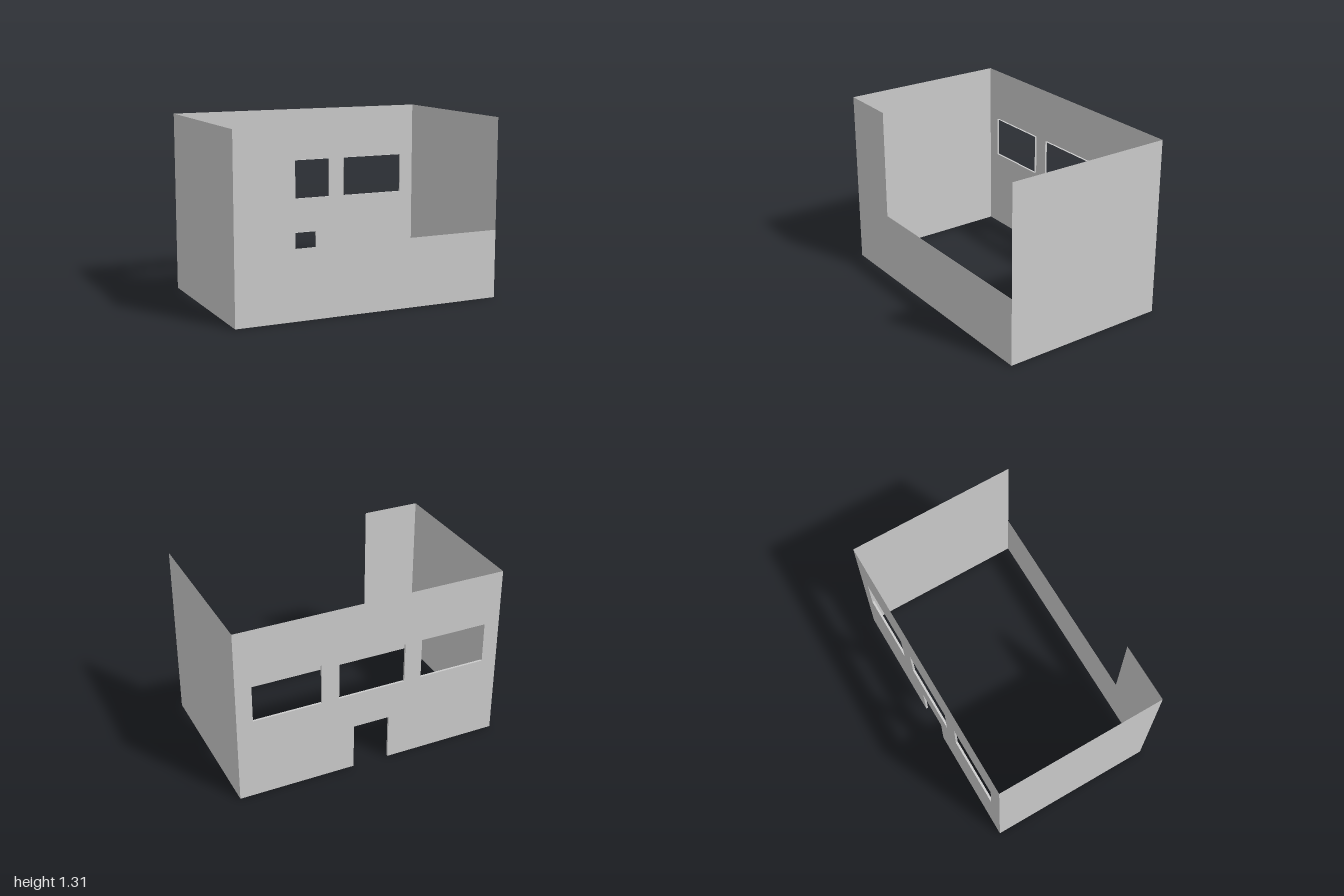
import * as THREE from 'three';

const HALF_X = 1, HALF_Z = 0.625, HEIGHT = 1.313;
const REVEAL = 0.016;

export function createModel() {
  const group = new THREE.Group();
  const material = new THREE.MeshStandardMaterial({
    color: 0xcccccc, side: THREE.DoubleSide, flatShading: true,
  });

  const add = (name, geometry) => {
    const mesh = new THREE.Mesh(geometry, material);
    mesh.name = name;
    group.add(mesh);
    return mesh;
  };
  const points = (list) => list.map(([x, y]) => new THREE.Vector2(x, y));
  const rect = (x0, x1, y0, y1) => [[x0, y0], [x1, y0], [x1, y1], [x0, y1]];

  // Thin strip running inward from the back wall along an opening's edge
  const addReveal = (name, outline, closed) => {
    const reveal = new THREE.Group();
    reveal.name = name;
    const count = closed ? outline.length : outline.length - 1;
    for (let i = 0; i < count; i++) {
      const [ax, ay] = outline[i];
      const [bx, by] = outline[(i + 1) % outline.length];
      const strip = new THREE.PlaneGeometry(Math.hypot(bx - ax, by - ay), REVEAL);
      strip.rotateX(-Math.PI / 2);
      strip.rotateZ(Math.atan2(by - ay, bx - ax));
      strip.translate((ax + bx) / 2, (ay + by) / 2, -HALF_Z + REVEAL / 2);
      const mesh = new THREE.Mesh(strip, material);
      mesh.name = 'revealSide';
      reveal.add(mesh);
    }
    group.add(reveal);
  };

  // Back wall: doorway notch at the floor and three windows
  const door = [[-0.136, 0], [-0.136, 0.343], [0.136, 0.343], [0.136, 0]];
  const backShape = new THREE.Shape(points([
    [-HALF_X, 0], ...door, [HALF_X, 0], [HALF_X, HEIGHT], [-HALF_X, HEIGHT],
  ]));
  addReveal('doorReveal', door, false);
  for (const x of [-0.632, 0, 0.632]) {
    const pane = rect(x - 0.251, x + 0.251, 0.614, 0.916);
    backShape.holes.push(new THREE.Path(points(pane)));
    addReveal('windowReveal', pane, true);
  }
  // Turned to face outward; the shape is symmetric in x
  add('backWall', new THREE.ShapeGeometry(backShape).rotateY(Math.PI).translate(0, 0, -HALF_Z));

  // Front wall: low counter with one full-height section at the model's right
  const frontShape = new THREE.Shape(points([
    [-HALF_X, 0], [HALF_X, 0], [HALF_X, 0.5], [-0.567, 0.5], [-0.567, HEIGHT], [-HALF_X, HEIGHT],
  ]));
  add('frontWall', new THREE.ShapeGeometry(frontShape).translate(0, 0, HALF_Z));

  // Plain side walls
  for (const side of [-1, 1]) {
    add(side > 0 ? 'leftWall' : 'rightWall',
      new THREE.PlaneGeometry(2 * HALF_Z, HEIGHT)
        .rotateY(side * Math.PI / 2)
        .translate(side * HALF_X, HEIGHT / 2, 0));
  }

  return group;
}
